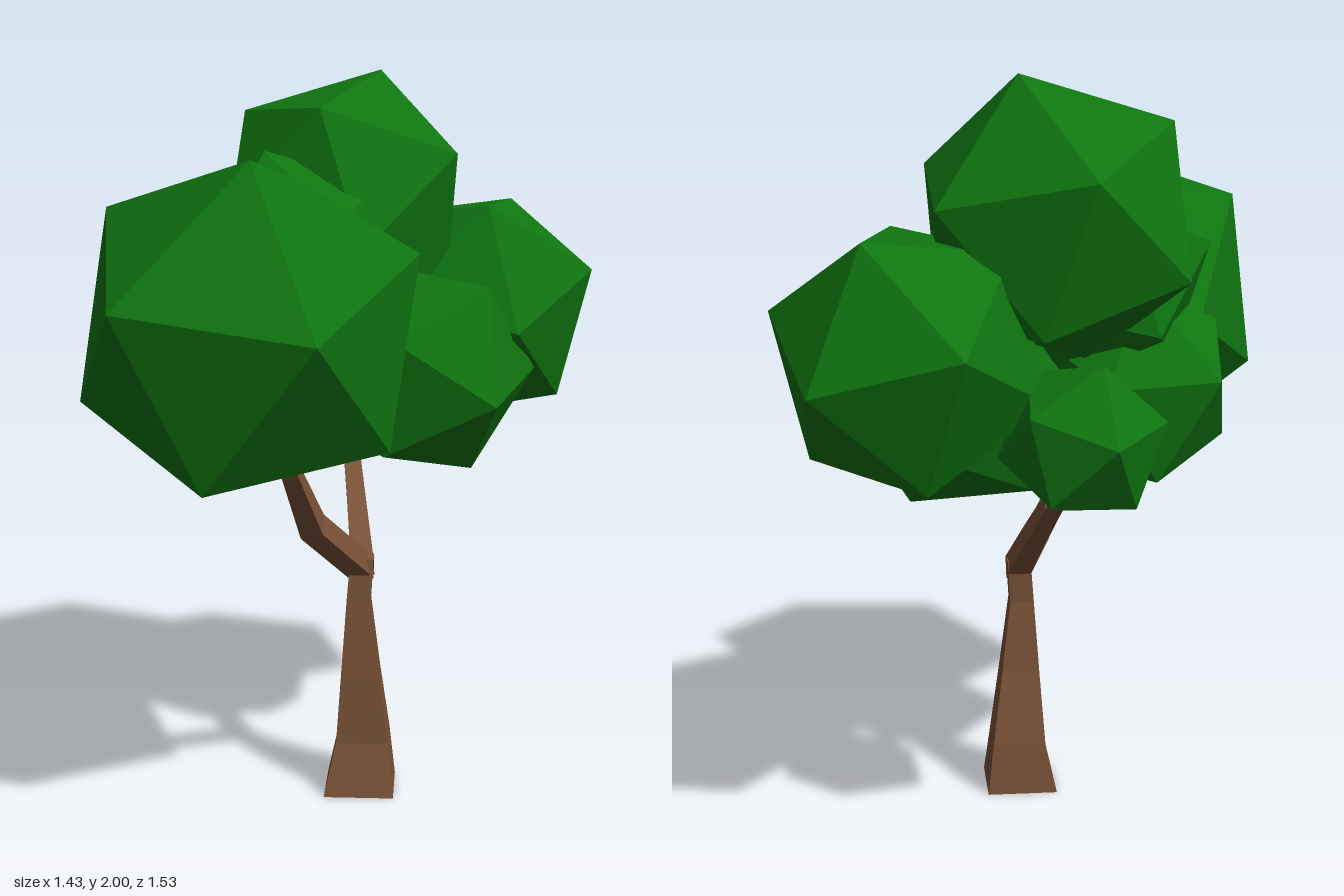
import * as THREE from 'three';

const V = (p) => new THREE.Vector3(...p);

// Square-section limb lofted through points [x, y, z, halfWidth]
function limb(points, upright = false) {
  const corners = [[1, 1], [1, -1], [-1, -1], [-1, 1]];
  const centres = points.map((p) => new THREE.Vector3(p[0], p[1], p[2]));
  const rings = points.map((p, i) => {
    const last = points.length - 1;
    const t = upright
      ? new THREE.Vector3(0, 1, 0)
      : centres[Math.min(i + 1, last)].clone().sub(centres[Math.max(i - 1, 0)]).normalize();
    const u = new THREE.Vector3(0.19, 0, 0.022);
    u.addScaledVector(t, -u.dot(t)).normalize();
    const v = u.clone().cross(t);
    return corners.map(([a, b]) =>
      centres[i].clone().addScaledVector(u, a * p[3]).addScaledVector(v, b * p[3]));
  });
  const pos = [];
  const quad = (a, b, c, d) => [a, b, c, a, c, d].forEach((q) => pos.push(q.x, q.y, q.z));
  for (let i = 0; i < rings.length - 1; i++) {
    for (let k = 0; k < 4; k++) {
      const n = (k + 1) % 4;
      quad(rings[i][k], rings[i][n], rings[i + 1][n], rings[i + 1][k]);
    }
  }
  const s = rings[0], e = rings[rings.length - 1];
  quad(s[3], s[2], s[1], s[0]);
  quad(e[0], e[1], e[2], e[3]);
  const geo = new THREE.BufferGeometry();
  geo.setAttribute('position', new THREE.Float32BufferAttribute(pos, 3));
  geo.computeVertexNormals();
  return geo;
}

// Icosahedron turned so that two neighbouring corners point along a and b
function clump(radius, a, b) {
  const va = V(a).normalize(), vb = V(b).normalize();
  const x = vb.clone().sub(va).normalize();
  const y = va.clone().add(vb).normalize();
  const z = x.clone().cross(y);
  return new THREE.IcosahedronGeometry(radius, 0)
    .applyMatrix4(new THREE.Matrix4().makeBasis(x, y, z));
}

export function createModel() {
  const tree = new THREE.Group();
  tree.name = 'tree';
  const bark = new THREE.MeshStandardMaterial({ color: 0x7a5238, flatShading: true });
  bark.name = 'bark brown';
  const leaf = new THREE.MeshStandardMaterial({ color: 0x0f7510, flatShading: true });
  leaf.name = 'leaf green';

  const add = (name, geo, mat, at = [0, 0, 0]) => {
    const mesh = new THREE.Mesh(geo, mat);
    mesh.name = name;
    mesh.position.set(...at);
    tree.add(mesh);
  };

  // Flared trunk
  add('trunk', limb([
    [0.018, 0, 0.02, 0.097],
    [0.028, 0.145, 0.005, 0.073],
    [0.02, 0.35, 0.017, 0.052],
    [0.015, 0.55, 0.015, 0.033],
    [0.025, 0.67, 0.005, 0.032],
  ], true), bark);

  // Forking branches
  add('frontBranch', limb([
    [0.03, 0.63, 0.0, 0.032], [-0.12, 0.8, 0.17, 0.032],
    [-0.18, 0.98, 0.31, 0.022], [-0.23, 1.15, 0.4, 0.016],
  ]), bark);
  add('frontTwig', limb([
    [-0.12, 0.82, 0.18, 0.024], [-0.16, 0.87, 0.13, 0.022], [-0.22, 1.05, 0.02, 0.014],
  ]), bark);
  add('backBranch', limb([
    [0.025, 0.64, 0.02, 0.032], [0.02, 0.8, -0.2, 0.026],
    [0.015, 0.95, -0.42, 0.022], [0.0, 1.07, -0.56, 0.015],
  ]), bark);
  add('backTwig', limb([
    [0.02, 0.92, -0.4, 0.022], [0.0, 1.03, -0.39, 0.02], [0.08, 1.25, -0.3, 0.014],
  ]), bark);

  // Leaf clumps: name, centre, radius, two neighbouring corner directions
  [
    ['frontClump', [-0.288, 1.355, 0.316], 0.477, [0.01, 0.425, 0.205], [0.16, 0.015, 0.455]],
    ['topClump', [-0.003, 1.637, -0.317], 0.386, [0.108, 0.363, -0.071], [-0.287, 0.253, -0.083]],
    ['backSideClump', [0.383, 1.323, -0.414], 0.364, [0.331, 0.107, 0.11], [0.127, 0.297, -0.162]],
    ['sideClump', [0.208, 1.178, -0.143], 0.322, [0.17, -0.072, 0.263], [0.165, 0.24, 0.133]],
    ['backClump', [-0.02, 1.13, -0.557], 0.213, [-0.025, 0.02, -0.21], [0.166, 0.09, -0.146]],
    ['lowerClump', [-0.26, 1.18, -0.12], 0.3, [-0.2, 0.05, -0.25], [-0.25, 0.16, 0.03]],
    ['middleClump', [-0.155, 1.475, -0.1], 0.325, [-0.09, 0.305, 0.05], [-0.29, 0.1, -0.09]],
  ].forEach(([name, at, r, a, b]) => add(name, clump(r, a, b), leaf, at));

  return tree;
}
